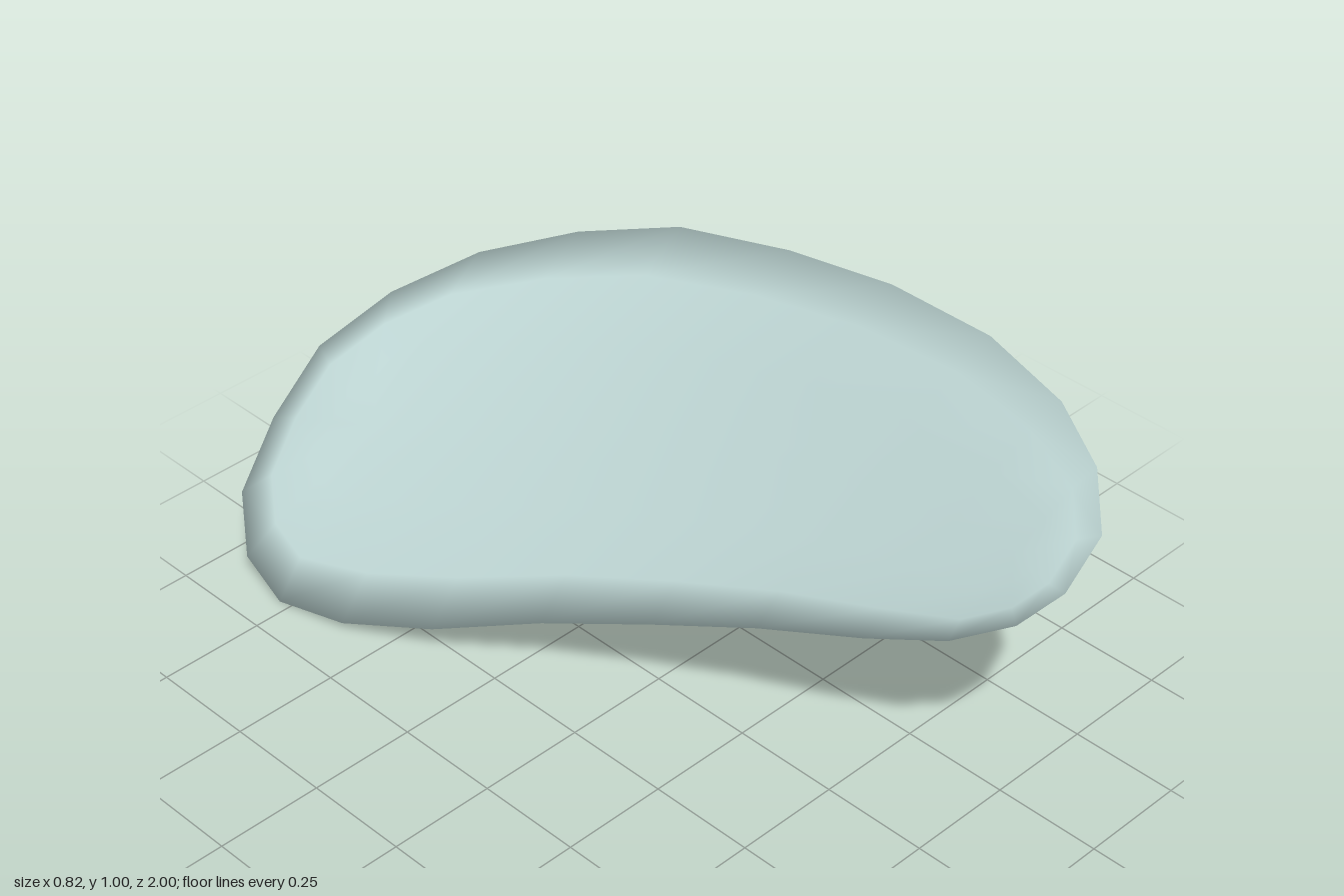
import * as THREE from 'three';
import { mergeVertices } from 'three/addons/utils/BufferGeometryUtils.js';

// Rim of the curved blade, from the broad back tip round the upper edge
// to the narrow front tip and back along the lower edge.
const RIM = [
  [-0.22, 0.30, -1.0], [-0.10, 0.45, -0.97], [0.04, 0.57, -0.88], [0.18, 0.675, -0.74],
  [0.30, 0.76, -0.55], [0.38, 0.84, -0.32], [0.41, 0.90, -0.03], [0.39, 0.965, 0.27],
  [0.35, 1.0, 0.56], [0.29, 0.99, 0.79], [0.23, 0.94, 0.93], [0.17, 0.85, 1.0],
  [0.10, 0.74, 0.98], [0.05, 0.65, 0.91], [0.01, 0.56, 0.78], [-0.03, 0.485, 0.60],
  [-0.08, 0.40, 0.36], [-0.14, 0.305, 0.12], [-0.22, 0.21, -0.13], [-0.31, 0.10, -0.38],
  [-0.38, 0.03, -0.60], [-0.41, 0.005, -0.78], [-0.40, 0.06, -0.90], [-0.34, 0.165, -0.98],
].map((p) => new THREE.Vector3(...p));
const N = RIM.length;

// Rings from the rim to the spine: [fraction inward, upper rise, lower rise]
const RINGS = [[0, 0, 0], [0.25, 0.018, 0.013], [0.6, 0.024, 0.016], [1, 0.026, 0.017]];

// Spine point and upward normal for a row of the blade
function spineAt(row) {
  const r = THREE.MathUtils.clamp(row, 3, 10);
  const mid = (k) => RIM[k].clone().add(RIM[(N - k) % N]).multiplyScalar(0.5);
  const across = RIM[r].clone().sub(RIM[N - r]);
  const along = mid(r + 1).sub(mid(r - 1));
  return { point: mid(r), normal: along.cross(across).normalize() };
}

function bladeGeometry() {
  const positions = [];
  const indices = [];
  // One skin above the rim and one below, welded at the rim
  for (const side of [1, -1]) {
    const base = positions.length / 3;
    for (const [f, up, down] of RINGS) {
      for (let i = 0; i < N; i++) {
        const { point, normal } = spineAt(Math.min(i, N - i));
        const p = RIM[i].clone().lerp(point, f);
        p.addScaledVector(normal, side > 0 ? up : -down);
        positions.push(p.x, p.y, p.z);
      }
    }
    for (let k = 0; k < RINGS.length - 1; k++) {
      for (let i = 0; i < N; i++) {
        const j = (i + 1) % N;
        const a = base + k * N + i, b = base + k * N + j;
        const c = a + N, d = b + N;
        if (side > 0) indices.push(b, a, c, b, c, d);
        else indices.push(a, b, c, b, d, c);
      }
    }
  }
  const raw = new THREE.BufferGeometry();
  raw.setAttribute('position', new THREE.Float32BufferAttribute(positions, 3));
  raw.setIndex(indices);
  const geometry = mergeVertices(raw, 1e-4);
  geometry.computeVertexNormals(); // shared rim normals give the soft rolled edge
  return geometry;
}

export function createModel() {
  const group = new THREE.Group();
  const blade = new THREE.Mesh(
    bladeGeometry(),
    new THREE.MeshStandardMaterial({ color: 0xc0d8d6 })
  );
  blade.name = 'curvedBlade';
  group.add(blade);
  return group;
}
